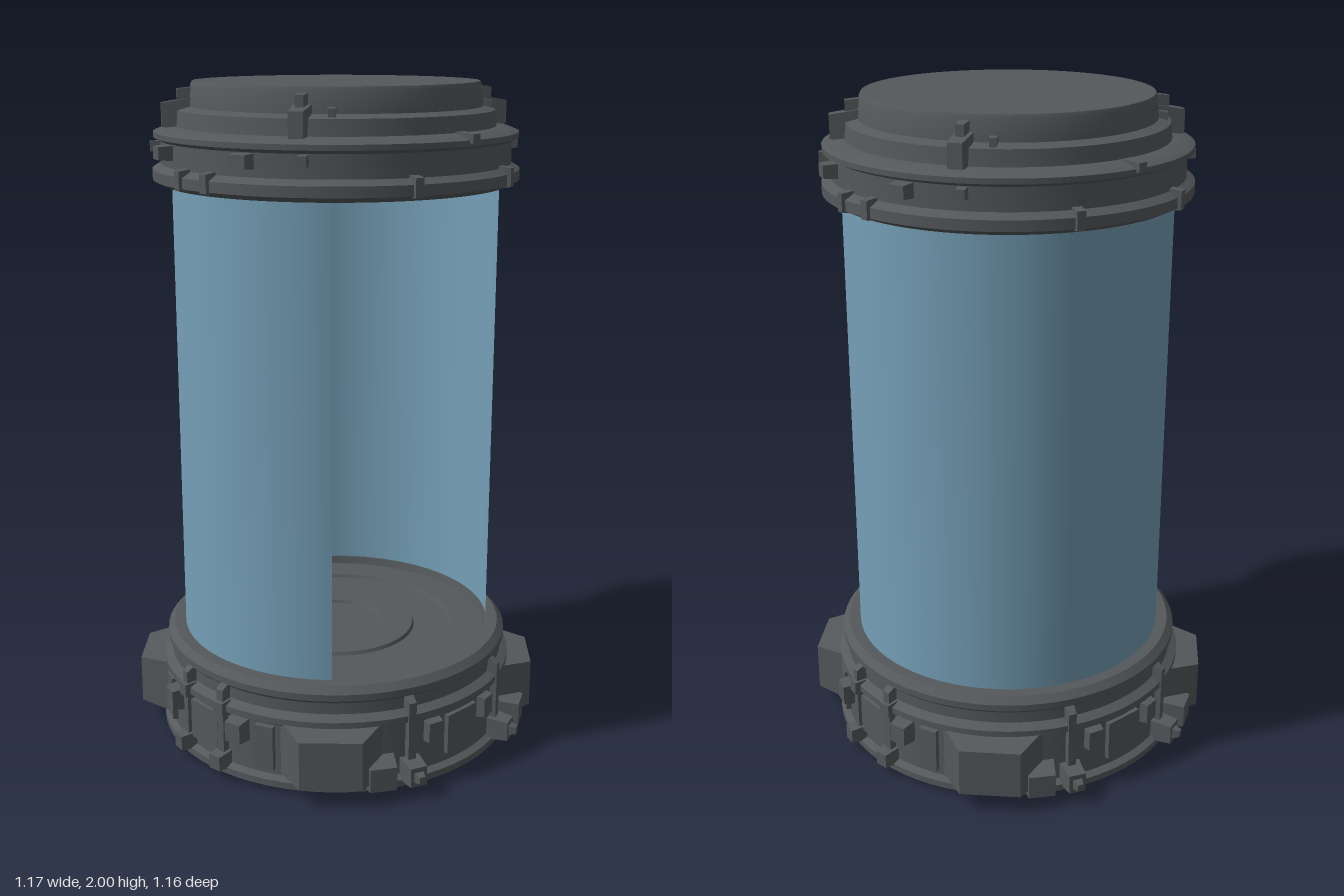
import * as THREE from 'three';
import { toCreasedNormals } from 'three/addons/utils/BufferGeometryUtils.js';

export function createModel() {
  const model = new THREE.Group();
  const metal = new THREE.MeshStandardMaterial({ color: 0x55595c });
  metal.name = 'dark grey metal';
  const glass = new THREE.MeshStandardMaterial({ color: 0x759fb7, side: THREE.DoubleSide });
  glass.name = 'blue glass';

  function add(name, geometry, material = metal) {
    const mesh = new THREE.Mesh(geometry, material);
    mesh.name = name;
    model.add(mesh);
    return mesh;
  }

  // Turned part from a profile of [radius, height] pairs
  function turned(name, profile) {
    const points = profile.map(([r, y]) => new THREE.Vector2(r, y));
    add(name, toCreasedNormals(new THREE.LatheGeometry(points, 72), 0.5));
  }

  // Block on the rim: angle in degrees from +x towards +z, inner and outer radius,
  // bottom and top height, width, and how far the outer face narrows
  function block(name, deg, r0, r1, y0, y1, width, taperW = 0.8, taperH = 0.8) {
    const g = new THREE.BoxGeometry(r1 - r0, y1 - y0, width);
    const p = g.attributes.position;
    for (let i = 0; i < p.count; i++) {
      if (p.getX(i) > 0) p.setXYZ(i, p.getX(i), p.getY(i) * taperH, p.getZ(i) * taperW);
    }
    g.translate((r0 + r1) / 2, (y0 + y1) / 2, 0);
    g.rotateY(-deg * Math.PI / 180);
    g.computeVertexNormals();
    add(name, g);
  }

  // The same block mirrored into all four quadrants
  function four(name, deg, ...size) {
    for (const a of [deg, 180 - deg, 180 + deg, -deg]) block(name, a, ...size);
  }

  // Base with stepped rim and ringed floor inside the tube
  turned('base', [
    [0, 0], [0.53, 0], [0.555, 0.015], [0.555, 0.035], [0.535, 0.045],
    [0.535, 0.205], [0.55, 0.215], [0.55, 0.235], [0.525, 0.25], [0.525, 0.285],
    [0.535, 0.295], [0.535, 0.315], [0.515, 0.335], [0.475, 0.335], [0.47, 0.31],
    [0.37, 0.31], [0.365, 0.30], [0.25, 0.30], [0.245, 0.31], [0.15, 0.31],
    [0.145, 0.30], [0, 0.30],
  ]);

  // Cap with a recess underneath
  turned('cap', [
    [0, 1.80], [0.42, 1.80], [0.42, 1.73], [0.46, 1.71], [0.505, 1.71],
    [0.535, 1.725], [0.535, 1.755], [0.51, 1.77], [0.51, 1.835], [0.53, 1.845],
    [0.53, 1.86], [0.50, 1.872], [0.465, 1.875], [0.46, 1.92], [0.425, 1.93],
    [0.42, 1.99], [0.415, 2], [0, 2],
  ]);

  // Glass wall, open for a quarter turn on the +x side
  const wall = new THREE.CylinderGeometry(0.48, 0.48, 1.4, 72, 1, true, Math.PI * 0.75, Math.PI * 1.5);
  wall.translate(0, 1.025, 0);
  add('glassWall', wall, glass);

  // Large tapered feet on the diagonals
  four('baseButtress', 45, 0.51, 0.62, 0.05, 0.22, 0.30, 0.6, 0.88);

  // Low lugs and knobs beside the left and right faces
  four('baseLug', 30.5, 0.51, 0.605, 0.03, 0.12, 0.10);
  four('baseKnob', 20, 0.51, 0.60, 0.025, 0.10, 0.065);
  four('knobTip', 20, 0.59, 0.622, 0.045, 0.08, 0.035, 0.5, 0.6);

  // Straps, clamps and boxes on all faces of the base
  four('baseStrap', 81.5, 0.51, 0.555, 0.03, 0.31, 0.03);
  four('strapFoot', 81.5, 0.53, 0.585, 0.03, 0.085, 0.05);
  four('strapClamp', 81.5, 0.53, 0.565, 0.20, 0.25, 0.045);
  four('baseBox', 75, 0.51, 0.58, 0.135, 0.21, 0.065);
  four('sideStrap', 20, 0.51, 0.555, 0.05, 0.30, 0.03);
  four('sideBox', 12, 0.51, 0.56, 0.13, 0.205, 0.06);

  // Raised panels between the straps
  for (const a of [0, 90, 180, 270]) block('basePanel', a, 0.50, 0.545, 0.07, 0.20, 0.13, 0.95, 0.95);
  four('cornerPanel', 66, 0.50, 0.55, 0.06, 0.205, 0.06, 0.95, 0.95);

  // Small lugs around the cap
  four('capLug', 71.5, 0.48, 0.55, 1.79, 1.835, 0.06);
  four('capStud', 53, 0.48, 0.54, 1.80, 1.835, 0.03);
  four('capRib', 20, 0.49, 0.545, 1.715, 1.78, 0.03);
  four('capRib', 84, 0.49, 0.545, 1.715, 1.78, 0.03);
  four('capClip', 55.5, 0.42, 0.505, 1.86, 1.955, 0.05, 0.8, 0.7);
  four('clipPin', 55.5, 0.41, 0.46, 1.93, 1.985, 0.03);
  four('capNotch', 45, 0.40, 0.45, 1.91, 1.95, 0.025);
  for (const a of [0, 180]) block('capSideLug', a, 0.48, 0.54, 1.85, 1.88, 0.035);

  return model;
}
